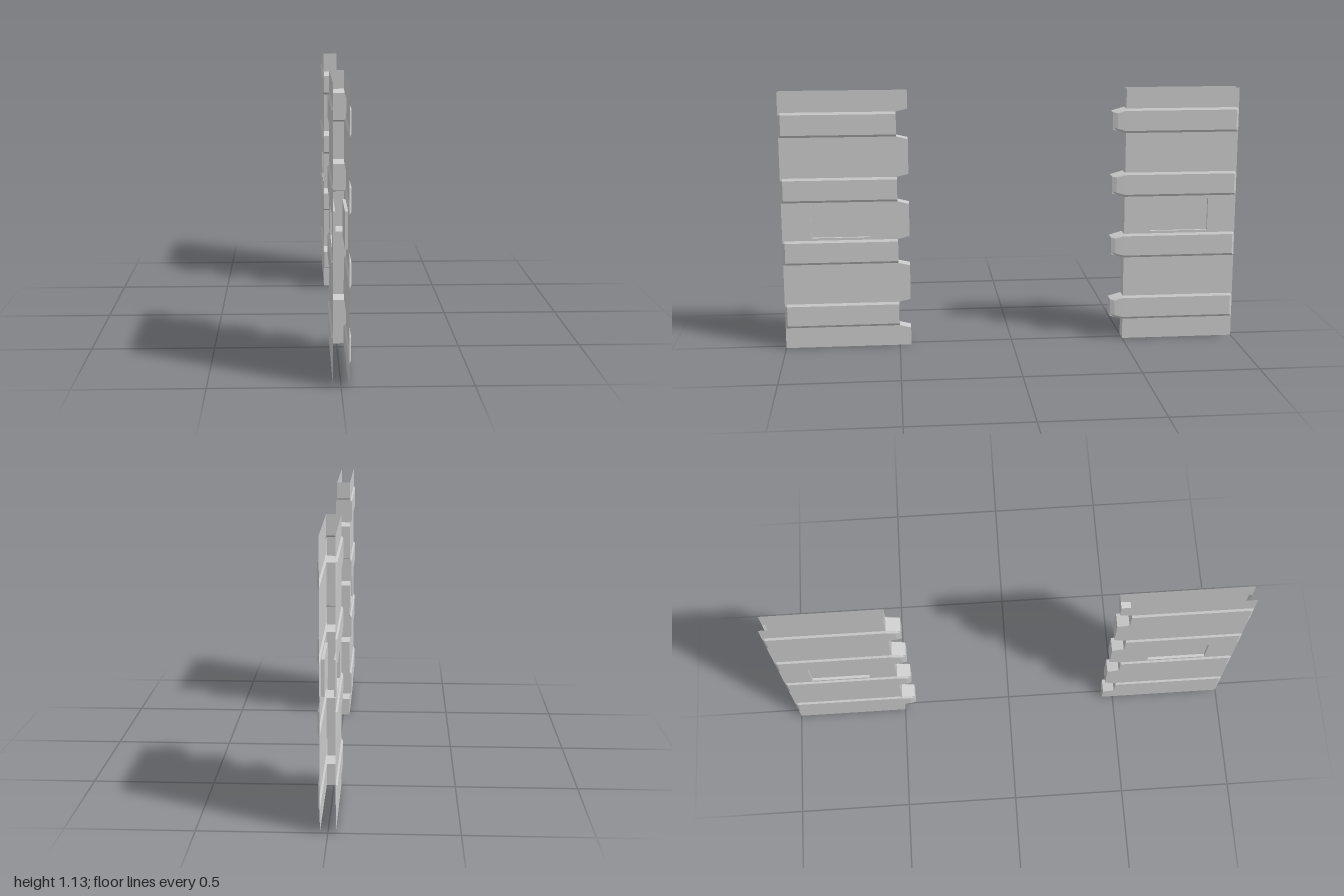
import * as THREE from 'three';

const W = 0.03, RIB = 0.037, H = 1.13, BH = 0.108, C = 0.01;
const BANDS = [0.091, 0.376, 0.652, 0.936];
const PANEL = { u0: 0.62, u1: 0.875, y0: 0.495, y1: 0.64, x: 0.018 };
const material = new THREE.MeshStandardMaterial({ color: 0xcccccc, flatShading: true, side: THREE.DoubleSide });

// Flat-shaded sheet through rows of [x, y, u] points; u runs along z (dir picks the leaf)
function loft(rows, dir, closed = false) {
  const out = [];
  const put = (p) => out.push(p[0], p[1], p[2] * dir);
  for (let i = 0; i + 1 < rows.length; i++) {
    const a = rows[i], b = rows[i + 1], n = a.length;
    for (let j = 0; j < (closed ? n : n - 1); j++) {
      const k = (j + 1) % n;
      [a[j], b[j], b[k], a[j], b[k], a[k]].forEach(put);
    }
  }
  const g = new THREE.BufferGeometry();
  g.setAttribute('position', new THREE.Float32BufferAttribute(out, 3));
  g.computeVertexNormals();
  return g;
}

// Flat outline in (u, y) placed on the plane x
function plate(shape, x, dir) {
  const g = new THREE.ShapeGeometry(shape);
  const p = g.attributes.position;
  for (let i = 0; i < p.count; i++) p.setXYZ(i, x, p.getY(i), p.getX(i) * dir);
  g.computeVertexNormals();
  return g;
}

const rect = (x, u0, u1, y0, y1) => [[x, y0, u0], [x, y0, u1], [x, y1, u1], [x, y1, u0]];

// Half profile of a raised band: chamfered above and below
const rib = (s, y0, u, x = RIB, inset = 0) => [
  [s * W, y0 + inset, u], [s * x, y0 + inset + C, u],
  [s * x, y0 + BH - inset - C, u], [s * W, y0 + BH - inset, u]];
// Whole cross-section through both sides
const ring = (y0, u, x, inset) => [...rib(1, y0, u, x, inset), ...rib(-1, y0, u, x, inset).reverse()];
// The same ring collapsed to its middle, used as a cap
const centre = (y0, u) => ring(y0, u).map(() => [0, y0 + BH / 2, u]);

function makeLeaf(dir, tongues) {
  const leaf = new THREE.Group();
  const add = (name, g) => {
    const m = new THREE.Mesh(g, material);
    m.name = name;
    leaf.add(m);
  };
  const edge = tongues ? 0.5 : 0.45;     // meeting edge
  const flare = tongues ? 0 : 0.012;     // sockets widen toward the opening

  // Plain strips between the raised bands
  for (let i = 0; i <= BANDS.length; i++) {
    const y0 = i ? BANDS[i - 1] + BH : 0;
    const y1 = i < BANDS.length ? BANDS[i] : H;
    const e0 = i ? y0 + flare : y0, e1 = i < BANDS.length ? y1 - flare : y1;
    const corners = [[1, y0], [1, y1], [0.5, y1], [edge, e1], [edge, e0], [0.5, y0]];
    for (const s of [1, -1]) {
      const shape = new THREE.Shape(corners.map(([u, y]) => new THREE.Vector2(u, y)));
      if (i === 2) {
        const hole = rect(0, PANEL.u0, PANEL.u1, PANEL.y0, PANEL.y1);
        shape.holes.push(new THREE.Path(hole.map((p) => new THREE.Vector2(p[2], p[1]))));
      }
      add('sideStrip', plate(shape, s * W, dir));
    }
    add('edgeWall', loft([[[-W, e0, edge], [W, e0, edge]], [[-W, e1, edge], [W, e1, edge]]], dir));
    // Sloping socket floor and ceiling
    if (!tongues) {
      if (i) add('socketFloor', loft([[[-W, y0, 0.5], [W, y0, 0.5]], [[-W, e0, edge], [W, e0, edge]]], dir));
      if (i < BANDS.length)
        add('socketCeiling', loft([[[-W, y1, 0.5], [W, y1, 0.5]], [[-W, e1, edge], [W, e1, edge]]], dir));
    }
  }

  // Raised bands, chamfered at the outer end, with a tongue or a socket wall
  for (const y0 of BANDS) {
    for (const s of [1, -1])
      add('raisedBand', loft([rib(s, y0, 1, W), rib(s, y0, 0.99), rib(s, y0, 0.5)], dir));
    if (tongues)
      add('tongue', loft([ring(y0, 0.5), ring(y0, 0.462, 0.036, 0.01),
        ring(y0, 0.442, W, 0.016), centre(y0, 0.442)], dir, true));
    else add('socketWall', loft([ring(y0, 0.5), centre(y0, 0.5)], dir, true));
  }

  // Recessed panel on each side
  for (const s of [1, -1]) {
    const { u0, u1, y0, y1, x } = PANEL;
    add('panelRim', loft([rect(s * W, u0, u1, y0, y1), rect(s * x, u0, u1, y0, y1)], dir, true));
    add('recessedPanel', loft([[[s * x, y0, u0], [s * x, y0, u1]], [[s * x, y1, u0], [s * x, y1, u1]]], dir));
  }
  return leaf;
}

export function createModel() {
  const model = new THREE.Group();
  model.name = 'slidingDoor';
  const front = makeLeaf(1, false);
  front.name = 'frontLeaf';
  const back = makeLeaf(-1, true);
  back.name = 'backLeaf';
  model.add(front, back);
  return model;
}
